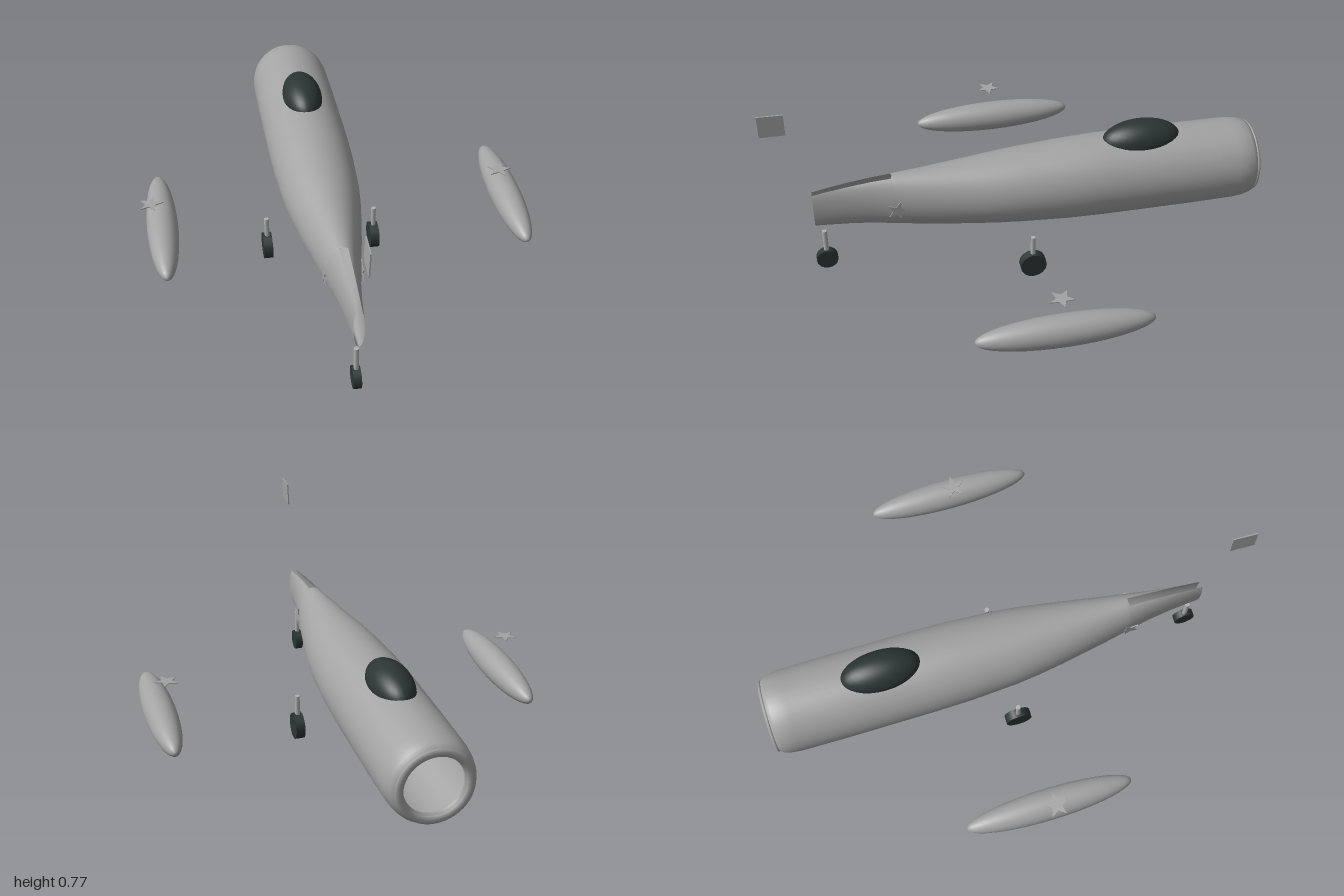
import * as THREE from 'three';

const CX = -0.057; // centre line of the fuselage

const mat = (name, color, side = THREE.FrontSide) => {
  const m = new THREE.MeshStandardMaterial({ color, side });
  m.name = name;
  return m;
};

// Open tube lofted through elliptical rings, with a tapering slot along the top of the tail
function fuselageGeometry() {
  // z, half width, top y, bottom y, half angle of the slot
  const rings = [
    [-0.975, 0.112, 0.412, 0.188, 0], [-0.99, 0.122, 0.422, 0.178, 0],
    [-0.992, 0.135, 0.435, 0.165, 0], [-0.985, 0.148, 0.448, 0.152, 0],
    [-0.97, 0.158, 0.458, 0.142, 0], [-0.94, 0.165, 0.465, 0.135, 0],
    [-0.9, 0.169, 0.469, 0.131, 0], [-0.7, 0.171, 0.471, 0.129, 0],
    [-0.35, 0.17, 0.472, 0.13, 0], [-0.2, 0.167, 0.466, 0.134, 0],
    [0, 0.155, 0.454, 0.145, 0], [0.1, 0.143, 0.447, 0.151, 0],
    [0.2, 0.127, 0.44, 0.158, 0], [0.3, 0.109, 0.434, 0.166, 0],
    [0.4, 0.09, 0.428, 0.176, 0], [0.5, 0.07, 0.424, 0.19, 0],
    [0.51, 0.068, 0.423, 0.191, 0], [0.513, 0.068, 0.423, 0.191, 0.25],
    [0.6, 0.05, 0.418, 0.204, 0.31], [0.7, 0.035, 0.409, 0.213, 0.42],
    [0.78, 0.026, 0.4, 0.218, 0.52], [0.83, 0.021, 0.394, 0.221, 0.6],
  ];
  const N = 48, pos = [], index = [];
  rings.forEach(([z, w, top, bottom, slot], i) => {
    for (let j = 0; j <= N; j++) {
      const t = slot + (2 * Math.PI - 2 * slot) * j / N;
      pos.push(CX + w * Math.sin(t), (top + bottom) / 2 + (top - bottom) / 2 * Math.cos(t), z);
      if (i < rings.length - 1 && j < N) {
        const a = i * (N + 1) + j, b = a + N + 1;
        index.push(a, b, a + 1, b, b + 1, a + 1);
      }
    }
  });
  const g = new THREE.BufferGeometry();
  g.setAttribute('position', new THREE.Float32BufferAttribute(pos, 3));
  g.setIndex(index);
  g.computeVertexNormals();
  // Smooth the seam along the closed part of the top
  const n = g.attributes.normal, v = new THREE.Vector3();
  rings.forEach((r, i) => {
    if (r[4] > 0) return;
    for (const k of [i * (N + 1), i * (N + 1) + N]) {
      v.fromBufferAttribute(n, k).setX(0).normalize();
      n.setXYZ(k, v.x, v.y, v.z);
    }
  });
  return g;
}

// Thin five-pointed star in the xy plane with one point along +x
function starGeometry(r) {
  const pts = [];
  for (let i = 0; i < 10; i++) {
    const a = i * Math.PI / 5, q = i % 2 ? r * 0.42 : r;
    pts.push(new THREE.Vector2(q * Math.cos(a), q * Math.sin(a)));
  }
  const g = new THREE.ExtrudeGeometry(new THREE.Shape(pts), { depth: 0.004, bevelEnabled: false });
  return g.translate(0, 0, -0.002);
}

export function createModel() {
  const model = new THREE.Group();
  const grey = mat('body grey', 0xa3a3a3);
  const skin = mat('fuselage grey', 0xa3a3a3, THREE.DoubleSide);
  const dark = mat('dark green grey', 0x2b3534);
  const metal = mat('strut grey', 0xb0b0b0);

  const add = (name, geometry, material, x, y, z, parent = model) => {
    const m = new THREE.Mesh(geometry, material);
    m.name = name;
    m.position.set(x, y, z);
    parent.add(m);
    return m;
  };

  // Fuselage, rear rim and canopy
  add('fuselage', fuselageGeometry(), skin, 0, 0, 0);
  add('rearRim', new THREE.TorusGeometry(0.132, 0.016, 12, 48), grey, CX, 0.3, -0.991).scale.z = 0.55;
  add('canopy', new THREE.SphereGeometry(1, 32, 20), dark, CX, 0.455, -0.517).scale.set(0.083, 0.08, 0.163);

  // Pods and the flat stars above them
  for (const [side, podX, starX] of [['left', 0.721, 0.686], ['right', -0.705, -0.743]]) {
    add(side + 'Pod', new THREE.SphereGeometry(1, 32, 20).rotateX(Math.PI / 2), grey, podX, 0.205, -0.021)
      .scale.set(0.063, 0.063, 0.342);
    add(side + 'WingStar', starGeometry(0.05).rotateX(-Math.PI / 2), grey, starX, 0.329, -0.01)
      .rotation.z = 0.03;
  }

  // Stars half sunk into the flanks of the tail
  for (const s of [1, -1]) {
    add(s > 0 ? 'leftTailStar' : 'rightTailStar', starGeometry(0.045).rotateY(Math.PI / 2), grey,
      CX + s * 0.073, 0.298, 0.5);
  }

  // Thin tail plate
  add('tailPlate', new THREE.BoxGeometry(0.005, 0.095, 0.1), grey, -0.056, 0.723, 0.949)
    .rotation.set(0, -0.03, -0.04);

  // Wheels on struts
  const gear = (name, x, z, r, width, top) => {
    const g = new THREE.Group();
    g.name = name;
    g.position.set(x, 0, z);
    model.add(g);
    add('wheel', new THREE.CylinderGeometry(r, r, width, 16).rotateZ(Math.PI / 2), dark, 0, r, 0, g);
    add('strut', new THREE.CylinderGeometry(0.01, 0.01, top - r, 12), metal, 0, (top + r) / 2, 0, g);
  };
  gear('leftGear', 0.163, -0.02, 0.054, 0.037, 0.19);
  gear('rightGear', -0.283, -0.02, 0.054, 0.037, 0.19);
  gear('frontGear', -0.06, 0.797, 0.044, 0.03, 0.184);

  return model;
}
